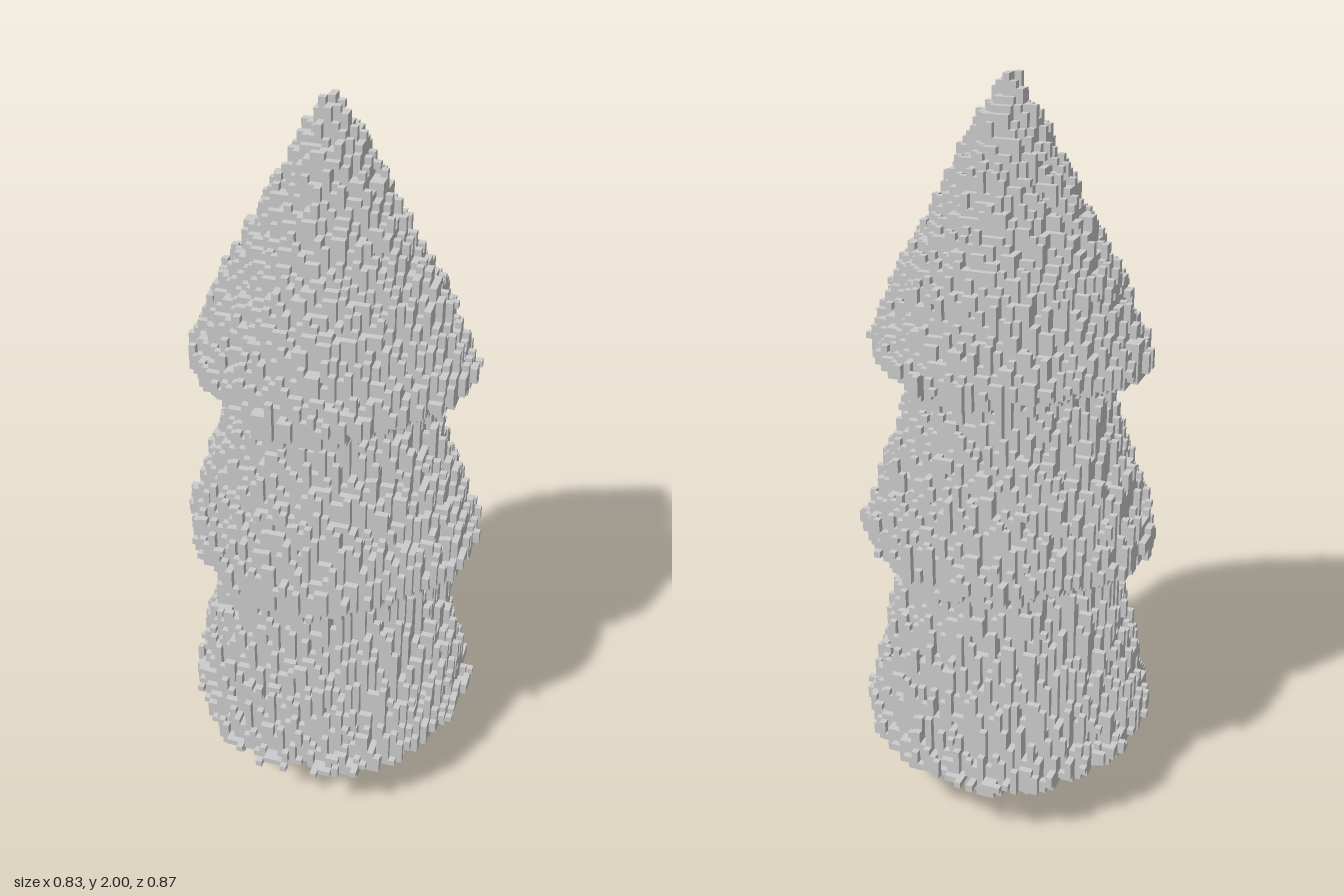
import * as THREE from 'three';

const LAYERS = 113, CELL = 2 / LAYERS, HALF = 24, SIZE = HALF * 2 + 1;

// Outline of each part as [height, radius] pairs, from the ground up.
// waist: radius where the sloping underside begins; corner: how much the diagonals draw in.
const PARTS = [
  { name: 'trunk', top: 0.195, jitter: 0.018, waist: 0, corner: 0.02,
    profile: [[0, 0.205], [0.06, 0.2], [0.08, 0.165], [0.195, 0.157]] },
  { name: 'lowerBranches', top: 0.71, jitter: 0.02, waist: 0, corner: 0,
    profile: [[0.195, 0.4], [0.215, 0.402], [0.25, 0.383], [0.4, 0.352], [0.6, 0.302], [0.71, 0.285]] },
  { name: 'middleBranches', top: 1.245, jitter: 0.02, waist: 0.3, corner: 0.003,
    profile: [[0.71, 0.295], [0.724, 0.3], [0.727, 0.38], [0.78, 0.395], [0.9, 0.354], [1, 0.318],
      [1.1, 0.283], [1.2, 0.252], [1.245, 0.245]] },
  { name: 'upperBranches', top: 2.1, jitter: 0.016, waist: 0.28, corner: 0.024,
    profile: [[1.245, 0.285], [1.262, 0.29], [1.265, 0.36], [1.31, 0.37], [1.4, 0.325], [1.5, 0.289],
      [1.6, 0.232], [1.7, 0.175], [1.8, 0.124], [1.9, 0.074], [1.96, 0.036], [2, 0.016]] },
];

// Repeatable value from 0 to 1 for a grid column
function hash(x, z, seed) {
  let h = Math.imul(x + 101, 374761393) ^ Math.imul(z + 211, 668265263) ^ Math.imul(seed + 7, 1274126177);
  h = Math.imul(h ^ (h >>> 13), 1103515245);
  return ((h ^ (h >>> 16)) >>> 0) / 4294967296;
}

function radiusAt(profile, y) {
  for (let i = 1; i < profile.length; i++) {
    const [y0, r0] = profile[i - 1], [y1, r1] = profile[i];
    if (y <= y1) return r0 + (r1 - r0) * Math.max(0, (y - y0) / (y1 - y0));
  }
  return profile[profile.length - 1][1];
}

const partAt = (y) => PARTS.findIndex((p) => y < p.top);

// A cell is filled when it lies inside the ragged outline of its part
function isFilled(ix, iy, iz) {
  const x = ix * CELL, y = (iy + 0.5) * CELL, z = iz * CELL;
  const index = partAt(y), part = PARTS[index];
  // vertical streaks, broken at a different height in every column
  const streak = Math.floor(iy / 8 + hash(ix, iz, 3));
  const noise = (hash(ix, iz, 20 + streak) - 0.55) * 2;
  const r = Math.hypot(x, index === 0 ? z * 0.9 : z);
  const diagonal = r > 0 ? (2 * x * z / (x * x + z * z)) ** 2 : 0;

  // ragged hem of the lowest branches, hanging deeper towards the rim and off the axes
  if (index === 0) {
    const drop = 0.045 * Math.min(1, (r - 0.3) / 0.05) * Math.min(1, 0.35 + diagonal);
    const bottom = 0.195 - drop + 0.012 * hash(ix, iz, 9);
    if (r > 0.31 && r < 0.385 + noise * 0.015 - (0.195 - y) * 0.4 && y > bottom) return true;
  }

  // the undersides of the upper tiers slope up towards the rim at the diagonals
  if (part.waist) {
    const reach = Math.max(0, r - part.waist) / 0.08;
    const lift = reach * diagonal * (0.04 + 0.025 * hash(ix, iz, 5));
    if (y - part.profile[0][0] < lift) return false;
  }
  return r < radiusAt(part.profile, y) - part.corner * diagonal * Math.min(1, r / 0.3) + noise * part.jitter;
}

// The six faces of a cell: outward direction and two edge axes with u x v = n
const FACES = [];
for (let a = 0; a < 3; a++) {
  for (const s of [1, -1]) {
    const n = [0, 0, 0], u = [0, 0, 0], v = [0, 0, 0];
    n[a] = s;
    u[(a + 1) % 3] = s;
    v[(a + 2) % 3] = 1;
    FACES.push({ n, u, v });
  }
}

export function createModel() {
  const tree = new THREE.Group();
  tree.name = 'blockTree';

  // Fill the grid
  const grid = new Uint8Array(SIZE * SIZE * LAYERS);
  const at = (x, y, z) => ((y * SIZE) + z + HALF) * SIZE + x + HALF;
  const solid = (x, y, z) => Math.abs(x) <= HALF && Math.abs(z) <= HALF
    && y >= 0 && y < LAYERS && grid[at(x, y, z)] === 1;
  const eachCell = (fn) => {
    for (let y = 0; y < LAYERS; y++)
      for (let z = -HALF; z <= HALF; z++)
        for (let x = -HALF; x <= HALF; x++) fn(x, y, z);
  };
  eachCell((x, y, z) => { if (isFilled(x, y, z)) grid[at(x, y, z)] = 1; });

  // Collect the exposed faces of each part
  const buffers = PARTS.map(() => ({ position: [], normal: [], index: [] }));
  eachCell((x, y, z) => {
    if (!solid(x, y, z)) return;
    let part = partAt((y + 0.5) * CELL);
    if (part === 0 && Math.hypot(x, z) * CELL > 0.28) part = 1;
    const { position, normal, index } = buffers[part];
    const centre = [x, y + 0.5, z];
    for (const { n, u, v } of FACES) {
      if (solid(x + n[0], y + n[1], z + n[2])) continue;
      const first = position.length / 3;
      for (const [p, q] of [[-1, -1], [1, -1], [1, 1], [-1, 1]]) {
        for (let k = 0; k < 3; k++) position.push((centre[k] + (n[k] + p * u[k] + q * v[k]) / 2) * CELL);
        normal.push(...n);
      }
      index.push(first, first + 1, first + 2, first, first + 2, first + 3);
    }
  });

  // One mesh for the trunk and one for each tier of branches
  const material = new THREE.MeshStandardMaterial({ color: 0xcccccc });
  buffers.forEach(({ position, normal, index }, i) => {
    const geometry = new THREE.BufferGeometry();
    geometry.setAttribute('position', new THREE.Float32BufferAttribute(position, 3));
    geometry.setAttribute('normal', new THREE.Float32BufferAttribute(normal, 3));
    geometry.setIndex(index);
    const mesh = new THREE.Mesh(geometry, material);
    mesh.name = PARTS[i].name;
    tree.add(mesh);
  });
  return tree;
}
